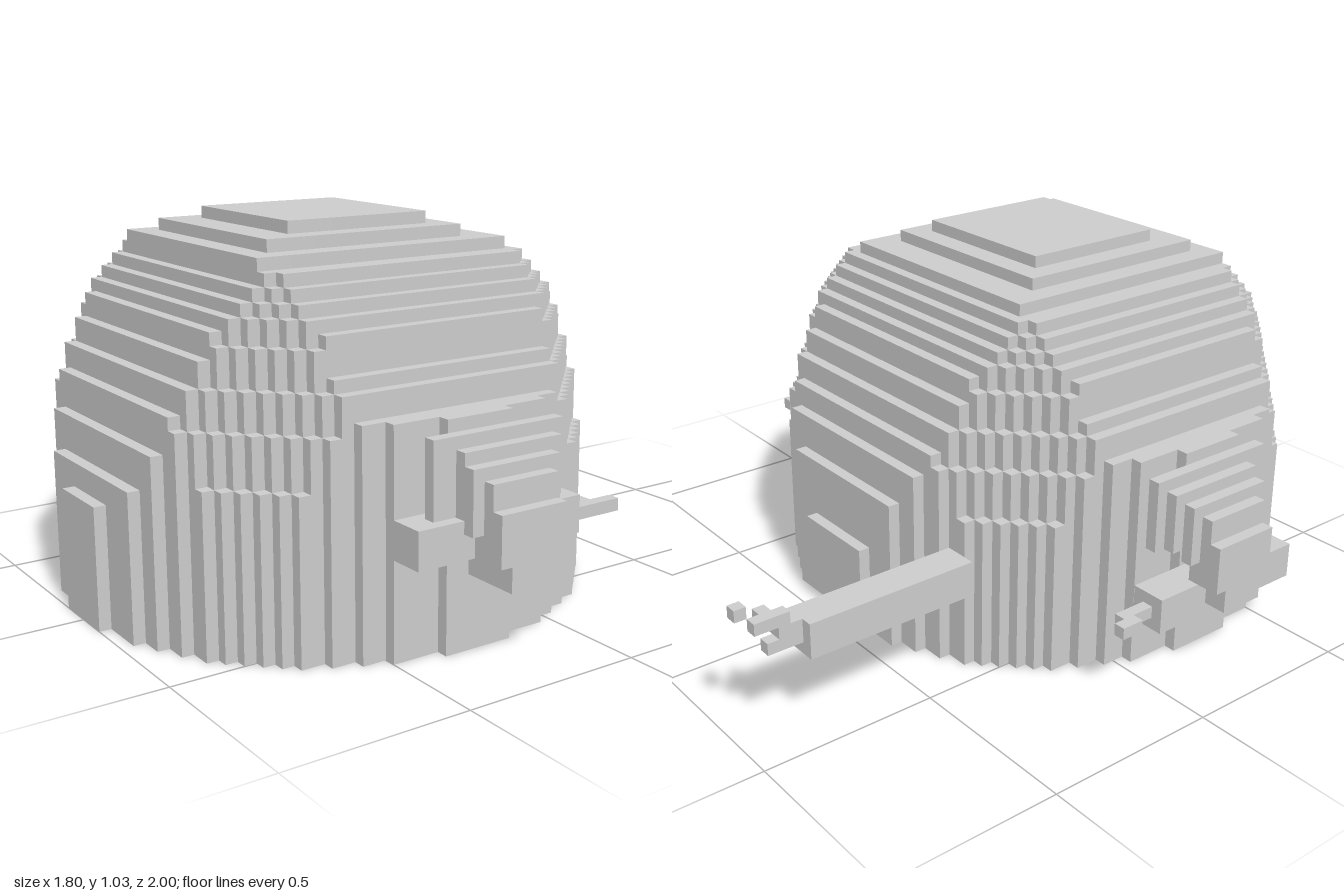
import * as THREE from 'three';

const U = 1 / 30; // size of one cube; all part sizes below are in cubes
const material = new THREE.MeshStandardMaterial({ color: 0xcccccc, flatShading: true });

// Box between two cube corners
function box(name, [x0, y0, z0], [x1, y1, z1]) {
  const g = new THREE.BoxGeometry((x1 - x0) * U, (y1 - y0) * U, (z1 - z0) * U);
  g.translate((x0 + x1) * U / 2, (y0 + y1) * U / 2, (z0 + z1) * U / 2);
  const mesh = new THREE.Mesh(g, material);
  mesh.name = name;
  return mesh;
}

// Skin of all cubes for which solid(x, y, z) holds; only exposed faces are made
function cubeMesh(name, solid) {
  const positions = [];
  const addFace = (cell, axis, dir) => {
    const u = (axis + 1) % 3, v = (axis + 2) % 3;
    const corner = (a, b) => {
      const p = [...cell];
      if (dir > 0) p[axis] += 1;
      p[u] += a;
      p[v] += b;
      return p.map((c) => c * U);
    };
    const q = [corner(0, 0), corner(1, 0), corner(1, 1), corner(0, 1)];
    if (dir < 0) q.reverse();
    for (const n of [0, 1, 2, 0, 2, 3]) positions.push(...q[n]);
  };
  for (let x = -30; x < 30; x++)
    for (let y = 0; y < 32; y++)
      for (let z = -30; z < 30; z++) {
        if (!solid(x, y, z)) continue;
        for (let axis = 0; axis < 3; axis++)
          for (const dir of [-1, 1]) {
            const n = [x, y, z];
            n[axis] += dir;
            if (!solid(...n)) addFace([x, y, z], axis, dir);
          }
      }
  const g = new THREE.BufferGeometry();
  g.setAttribute('position', new THREE.Float32BufferAttribute(positions, 3));
  g.computeVertexNormals();
  const mesh = new THREE.Mesh(g, material);
  mesh.name = name;
  return mesh;
}

// Dome reach per layer, from the top layer down; the last value runs to the ground
const TOP = 30, CENTER_Z = 8;
const SIDE = [7, 9, 11, 13, 14, 15, 16, 17, 17, 17, 18, 19, 19, 22];
const FRONT = [7, 10, 12, 12, 13, 14, 15, 16, 16, 17, 17, 18, 18, 19, 19, 19, 20, 20, 20, 21, 21, 22];
const BACK = [6, 8, 11, 12, 13, 14, 15, 16, 16, 17, 17, 18, 18, 19, 19, 20, 20, 20, 21];
const reach = (profile, y) => profile[Math.min(TOP - y, profile.length - 1)];

// Round footprint, cut by the side, front, back and diagonal profiles
function inDome(x, y, z) {
  if (y < 0 || y > TOP) return false;
  const dx = Math.abs(x + 0.5), dz = z + 0.5 - CENTER_Z;
  if (dx * dx + dz * dz > 470) return false;
  const diagonal = y >= 23 ? 27 - (y - 23) * 0.8 : 27 + (23 - y) * 0.3;
  return dx < reach(SIDE, y) && dz < reach(FRONT, y) && -dz < reach(BACK, y)
    && dx + Math.abs(dz) < diagonal;
}

// Side lug, one slice per cube outward: [top, back, front]
const LUG = [[17, 1, 13], [16, 2, 11], [15, 3, 11], [14, 4, 10], [12, 4, 10]];
function inLug(x, y, z) {
  const slice = LUG[x - 22];
  if (!slice || y < 6 || y >= slice[0]) return false;
  if (x < 24 && y >= 8 && y < 11) return false; // opening
  const pinch = y < 8 ? [5, 9] : y < 10 ? [4, 10] : [-30, 30];
  return z >= Math.max(slice[1], pinch[0]) && z < Math.min(slice[2], pinch[1]);
}

export function createModel() {
  const model = new THREE.Group();
  model.name = 'steppedDome';

  model.add(cubeMesh('dome', inDome));
  model.add(box('backPanel', [-4, 2, -14], [4, 8, -12]));

  // Lugs on both sides
  model.add(cubeMesh('leftLug', inLug));
  model.add(cubeMesh('rightLug', (x, y, z) => inLug(-1 - x, y, z)));

  // Left bar with its crooked end
  const leftBar = new THREE.Group();
  leftBar.name = 'leftBar';
  leftBar.add(
    box('bar', [21, 8, 0], [24, 11, 15]),
    box('hook', [22, 9, -2], [24, 10, 0]),
    box('hookTip', [23, 9, -4], [24, 10, -2]),
  );

  // Right bar, set lower
  const rightBar = new THREE.Group();
  rightBar.name = 'rightBar';
  rightBar.add(
    box('bar', [-25, 5, 0], [-22, 8, 15]),
    box('hook', [-24, 6, -3], [-23, 7, 0]),
    box('hookTip', [-25, 6, -4], [-24, 7, -2]),
  );

  // Long bar at the back with a rising, broken tip
  const tail = new THREE.Group();
  tail.name = 'tail';
  tail.add(
    box('tailBar', [-14, 7, -25], [-11, 10, -10]),
    box('tailStep', [-13, 8, -28], [-12, 9, -25]),
    box('tailStep', [-13, 9, -27], [-11, 10, -25]),
    box('tailStep', [-13, 10, -29], [-12, 11, -26]),
    box('tailStep', [-12, 10, -28], [-11, 11, -27]),
    box('tailTip', [-12, 11, -30], [-11, 12, -29]),
  );

  model.add(leftBar, rightBar, tail);
  return model;
}
